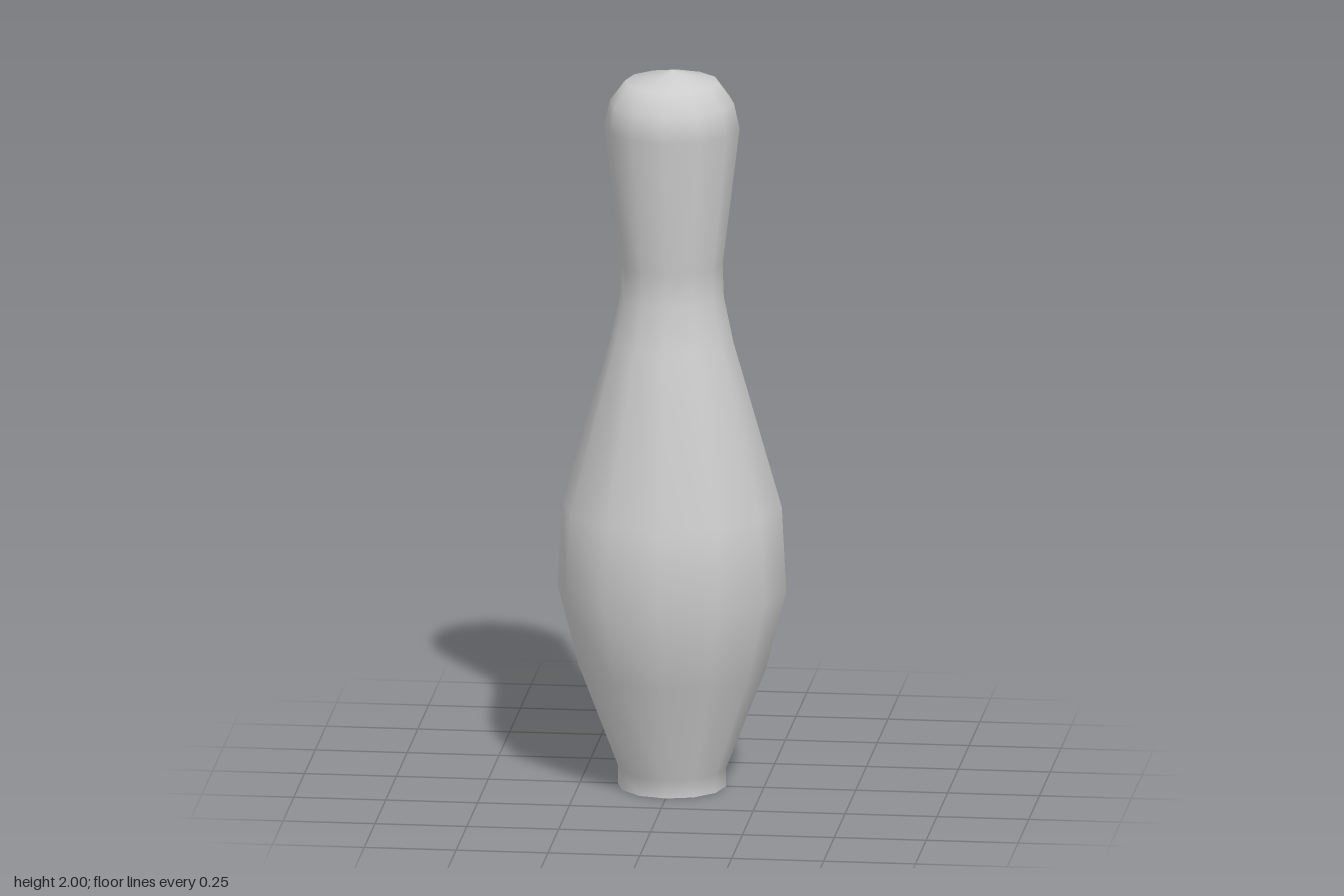
import * as THREE from 'three';

const SIDES = 12;

// Outline of the pin from foot to crown: radius, height
const PROFILE = [
  [0.147, 0], [0.147, 0.05], [0.255, 0.33], [0.311, 0.55], [0.299, 0.785],
  [0.168, 1.24], [0.141, 1.37], [0.138, 1.46], [0.184, 1.84],
  [0.169, 1.91], [0.127, 1.967], [0, 2],
];

export function createModel() {
  const group = new THREE.Group();
  group.name = 'bowlingPin';

  const paint = new THREE.MeshStandardMaterial({ color: 0xcccccc });
  paint.name = 'light grey';

  // Smooth turned body with belly, neck and head
  const points = PROFILE.map(([r, y]) => new THREE.Vector2(r, y));
  const body = new THREE.Mesh(new THREE.LatheGeometry(points, SIDES), paint);
  body.name = 'body';
  group.add(body);

  // Flat underside, facing down
  const base = new THREE.Mesh(new THREE.CircleGeometry(PROFILE[0][0], SIDES), paint);
  base.rotation.x = Math.PI / 2;
  base.name = 'base';
  group.add(base);

  return group;
}
